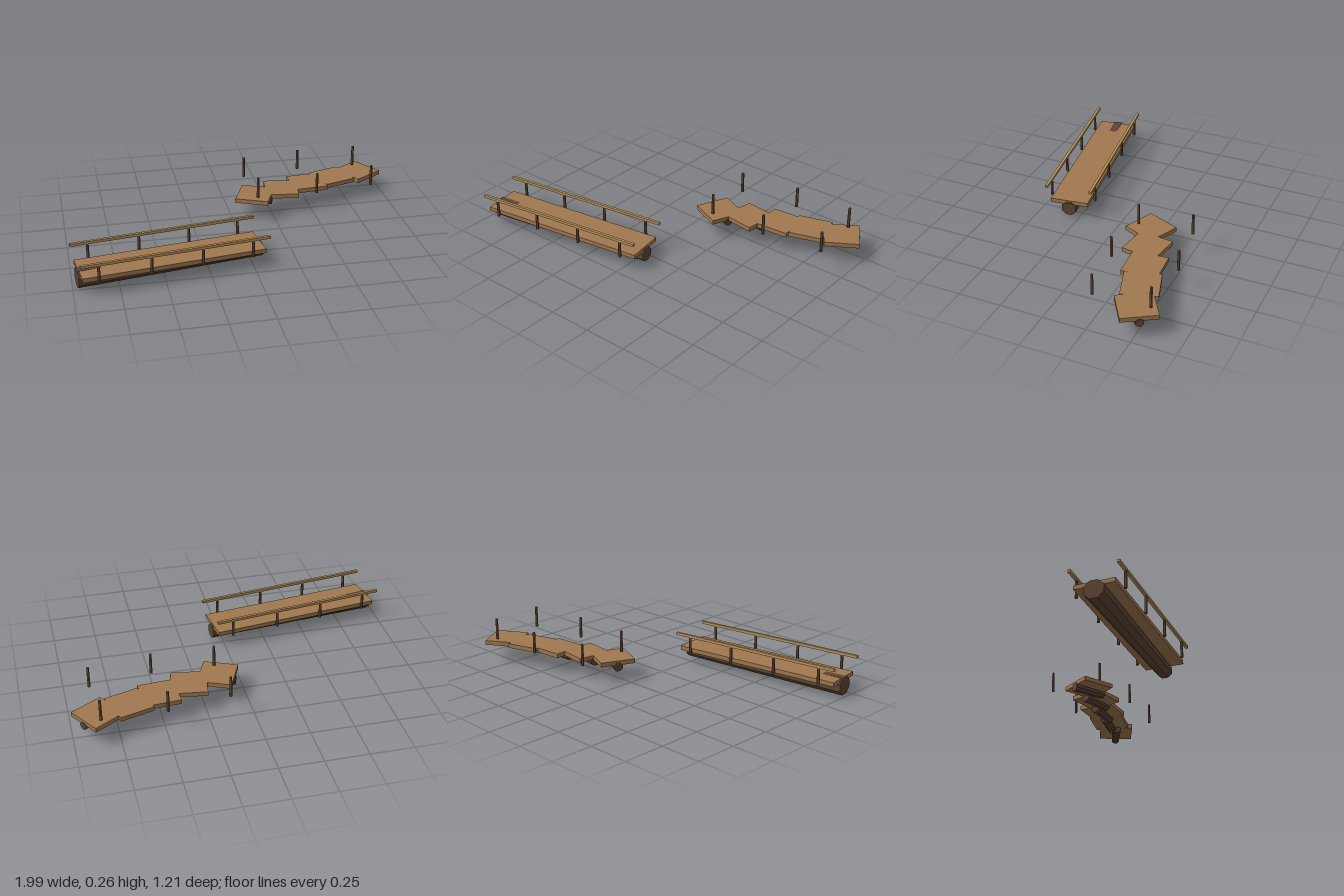
import * as THREE from 'three';

const wood = (color) => new THREE.MeshStandardMaterial({ color, flatShading: true });
const deckMat = wood(0xa07850);
const logMat = wood(0x5f4534);
const postMat = wood(0x70503c);
const railMat = wood(0xb8925c);

function add(parent, name, geometry, material, x, y, z) {
  const mesh = new THREE.Mesh(geometry, material);
  mesh.name = name;
  mesh.position.set(x, y, z);
  parent.add(mesh);
  return mesh;
}

// Faceted tapering log lying along x, thicker at -x
function logGeometry(rThick, rThin, length, squash = 1) {
  return new THREE.CylinderGeometry(rThick, rThin, length, 8)
    .rotateY(Math.PI / 8)
    .rotateZ(Math.PI / 2)
    .scale(1, squash, 1);
}

// Straight bridge: deck on a big log, with a railing on each side
function straightBridge() {
  const g = new THREE.Group();
  g.name = 'straightBridge';
  add(g, 'deck', new THREE.BoxGeometry(1.03, 0.025, 0.227), deckMat, 0, 0.088, 0);
  add(g, 'supportLog', logGeometry(0.06, 0.046, 1.05, 0.92), logMat, 0, 0.051, 0);

  const postGeo = new THREE.CylinderGeometry(0.008, 0.009, 0.1, 6);
  const railGeo = new THREE.BoxGeometry(1.055, 0.016, 0.016);
  for (const side of [-1, 1]) {
    const z = side * 0.134;
    add(g, 'rail', railGeo, railMat, 0, 0.183, z);
    for (let i = 0; i < 4; i++) {
      add(g, 'railPost', postGeo, postMat, -0.43 + i * 0.287, 0.126, z);
    }
  }
  g.position.set(-0.455, 0, 0.385);
  g.rotation.y = 0.141;
  return g;
}

// Curved bridge: overlapping deck pieces, each on its own short log
function curvedBridge() {
  const g = new THREE.Group();
  g.name = 'curvedBridge';
  const deckGeo = new THREE.BoxGeometry(0.2, 0.026, 0.206);
  const logGeo = logGeometry(0.03, 0.025, 0.208, 0.9);
  const pieces = [ // x, z, heading
    [0.151, -0.252, -0.41],
    [0.325, -0.305, -0.14],
    [0.503, -0.365, 0.07],
    [0.678, -0.419, 0.3],
    [0.855, -0.47, 0.56],
  ];
  for (const [x, z, heading] of pieces) {
    const piece = new THREE.Group();
    piece.name = 'deckSection';
    add(piece, 'deck', deckGeo, deckMat, 0, 0.112, 0);
    add(piece, 'supportLog', logGeo, logMat, 0, 0.089, 0);
    piece.position.set(x, 0, z);
    piece.rotation.y = heading;
    g.add(piece);
  }

  // Free-standing posts on both sides of the curve
  const postGeo = new THREE.CylinderGeometry(0.008, 0.009, 0.125, 6);
  const posts = [
    [0.132, -0.497], [0.154, -0.178], [0.488, -0.553],
    [0.515, -0.174], [0.848, -0.547], [0.87, -0.227],
  ];
  for (const [x, z] of posts) add(g, 'post', postGeo, postMat, x, 0.194, z);
  return g;
}

export function createModel() {
  const model = new THREE.Group();
  model.name = 'woodenBridges';
  model.add(straightBridge(), curvedBridge());
  return model;
}
